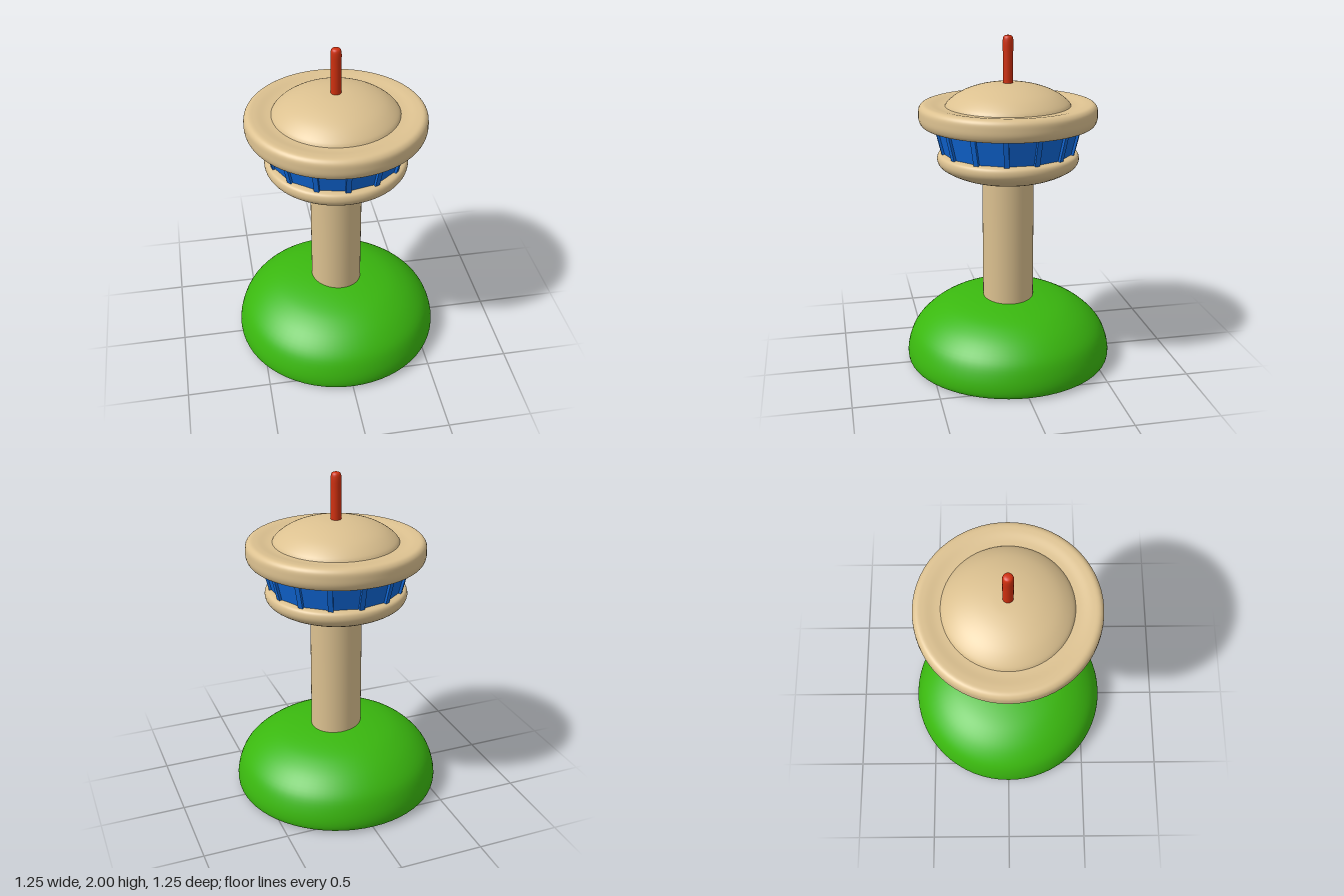
import * as THREE from 'three';

const mat = (name, color) => {
  const m = new THREE.MeshStandardMaterial({ color });
  m.name = name;
  return m;
};

export function createModel() {
  const tower = new THREE.Group();
  tower.name = 'controlTower';
  const sand = mat('sand', 0xdcc190);
  const grass = mat('grass', 0x3ab80f);
  const glass = mat('blueGlass', 0x1068d8);
  const red = mat('red', 0xd0300f);

  const add = (name, geometry, material, parent = tower) => {
    const mesh = new THREE.Mesh(geometry, material);
    mesh.name = name;
    parent.add(mesh);
    return mesh;
  };
  // Smooth turned body from [radius, height] points, listed bottom to top
  const turned = (points, samples = 32) => {
    const curve = new THREE.CatmullRomCurve3(
      points.map(([r, y]) => new THREE.Vector3(r, y, 0)), false, 'centripetal');
    const profile = curve.getPoints(samples)
      .map(p => new THREE.Vector2(Math.max(0, p.x), p.y));
    return new THREE.LatheGeometry(profile, 64);
  };

  // Grassy mound, sloping a little lower towards +x
  const mound = turned([[0.59, 0], [0.617, 0.015], [0.626, 0.05], [0.617, 0.12], [0.58, 0.21],
    [0.5, 0.293], [0.4, 0.353], [0.3, 0.387], [0.15, 0.412], [0, 0.418]], 40);
  const pos = mound.attributes.position;
  for (let i = 0; i < pos.count; i++) {
    const x = pos.getX(i), z = pos.getZ(i);
    const inside = Math.max(0, 1 - (x * x + z * z) / 0.4);
    pos.setY(i, pos.getY(i) * (1 - 0.2 * x * inside));
  }
  add('mound', mound, grass);
  const base = add('moundBase', new THREE.CircleGeometry(0.592, 64), grass);
  base.rotation.x = Math.PI / 2;

  // Shaft
  const shaft = add('shaft', new THREE.CylinderGeometry(0.154, 0.154, 0.82, 48), sand);
  shaft.position.y = 0.78;

  // Cabin floor: shallow bowl with a rounded lip
  add('cabinFloor', turned([[0, 1.148], [0.13, 1.15], [0.24, 1.167], [0.34, 1.202], [0.405, 1.243],
    [0.42, 1.275], [0.413, 1.307], [0.385, 1.319], [0.2, 1.32], [0, 1.32]], 48), sand);

  // Flared ring of flat panes with a mullion on every corner
  const sides = 14, low = 1.31, high = 1.485, rLow = 0.382, rHigh = 0.425;
  const cabin = new THREE.Group();
  cabin.name = 'cabinWindows';
  tower.add(cabin);
  const panes = new THREE.CylinderGeometry(rHigh, rLow, high - low, sides, 1, true).toNonIndexed();
  panes.computeVertexNormals();
  add('windowPanes', panes, glass, cabin).position.y = (low + high) / 2;
  const lean = Math.atan2(rHigh - rLow, high - low);
  for (let i = 0; i < sides; i++) {
    const spoke = new THREE.Group();
    spoke.name = 'mullionSpoke';
    spoke.rotation.y = i * Math.PI * 2 / sides;
    cabin.add(spoke);
    const mullion = add('mullion', new THREE.BoxGeometry(0.03, 0.178, 0.024), glass, spoke);
    mullion.position.set(0, (low + high) / 2, (rLow + rHigh) / 2);
    mullion.rotation.x = lean;
  }

  // Overhanging roof rim
  add('roofRim', turned([[0, 1.475], [0.3, 1.475], [0.47, 1.476], [0.507, 1.488], [0.522, 1.515],
    [0.525, 1.55], [0.52, 1.588], [0.5, 1.607], [0.46, 1.608], [0.4, 1.598], [0.34, 1.595]], 56), sand);

  // Dome
  add('roofDome', turned([[0.372, 1.59], [0.355, 1.615], [0.29, 1.663], [0.2, 1.7],
    [0.1, 1.721], [0, 1.727]]), sand);

  // Antenna with a rounded tip
  add('antenna', turned([[0.03, 1.7], [0.03, 1.8], [0.03, 1.9], [0.03, 1.975],
    [0.024, 1.993], [0.012, 1.999], [0, 2]], 24), red);

  return tower;
}
